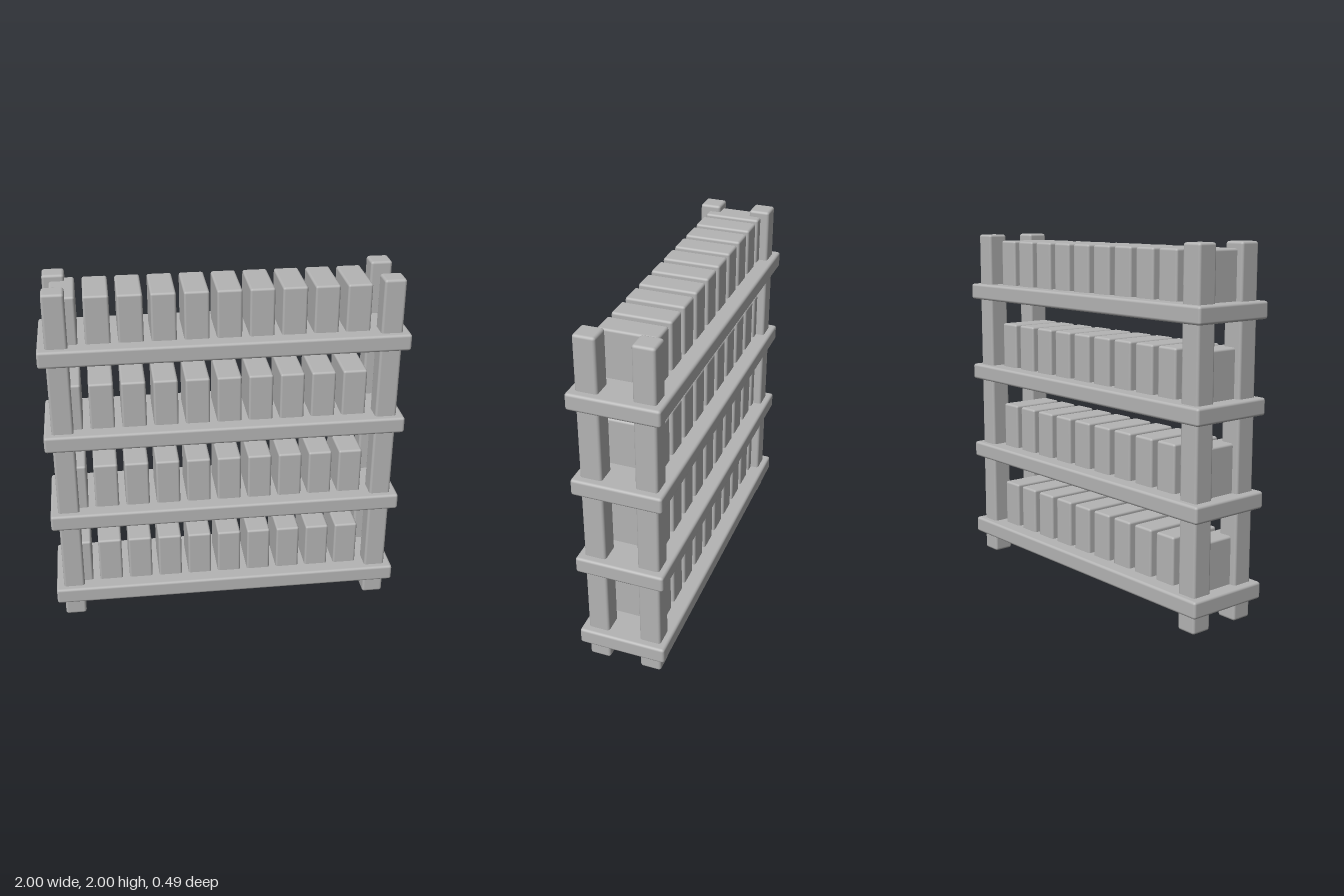
import * as THREE from 'three';
import { RoundedBoxGeometry } from 'three/addons/geometries/RoundedBoxGeometry.js';

const SHELVES = 4, SHELF_PITCH = 0.5, SHELF_Y = 0.153, SHELF_H = 0.094;
const BOOKS = 10, BOOK_PITCH = 0.175, BOOK_H = 0.28;

export function createModel() {
  const model = new THREE.Group();
  model.name = 'bookshelf';
  const grey = new THREE.MeshStandardMaterial({ color: 0xb4b4b4 });
  grey.name = 'grey';

  const postGeo = new RoundedBoxGeometry(0.12, 2, 0.12, 2, 0.015);
  const shelfGeo = new RoundedBoxGeometry(2, SHELF_H, 0.494, 2, 0.015);
  const bookGeo = new RoundedBoxGeometry(0.135, BOOK_H, 0.32, 2, 0.013);

  const add = (parent, name, geometry, x, y, z) => {
    const mesh = new THREE.Mesh(geometry, grey);
    mesh.name = name;
    mesh.position.set(x, y, z);
    parent.add(mesh);
  };

  // Four corner posts
  for (const x of [-0.897, 0.897])
    for (const z of [-0.15, 0.15])
      add(model, (z > 0 ? 'front' : 'back') + (x > 0 ? 'Left' : 'Right') + 'Post', postGeo, x, 1, z);

  // Shelf boards, each with a row of books set slightly into the board
  for (let s = 0; s < SHELVES; s++) {
    const y = SHELF_Y + s * SHELF_PITCH;
    add(model, `shelf${s + 1}`, shelfGeo, 0, y, 0);

    const row = new THREE.Group();
    row.name = `bookRow${s + 1}`;
    const bookY = 0.465 + s * SHELF_PITCH - BOOK_H / 2;
    for (let b = 0; b < BOOKS; b++)
      add(row, `book${b + 1}`, bookGeo, -0.853 + b * BOOK_PITCH, bookY, 0);
    model.add(row);
  }
  return model;
}
